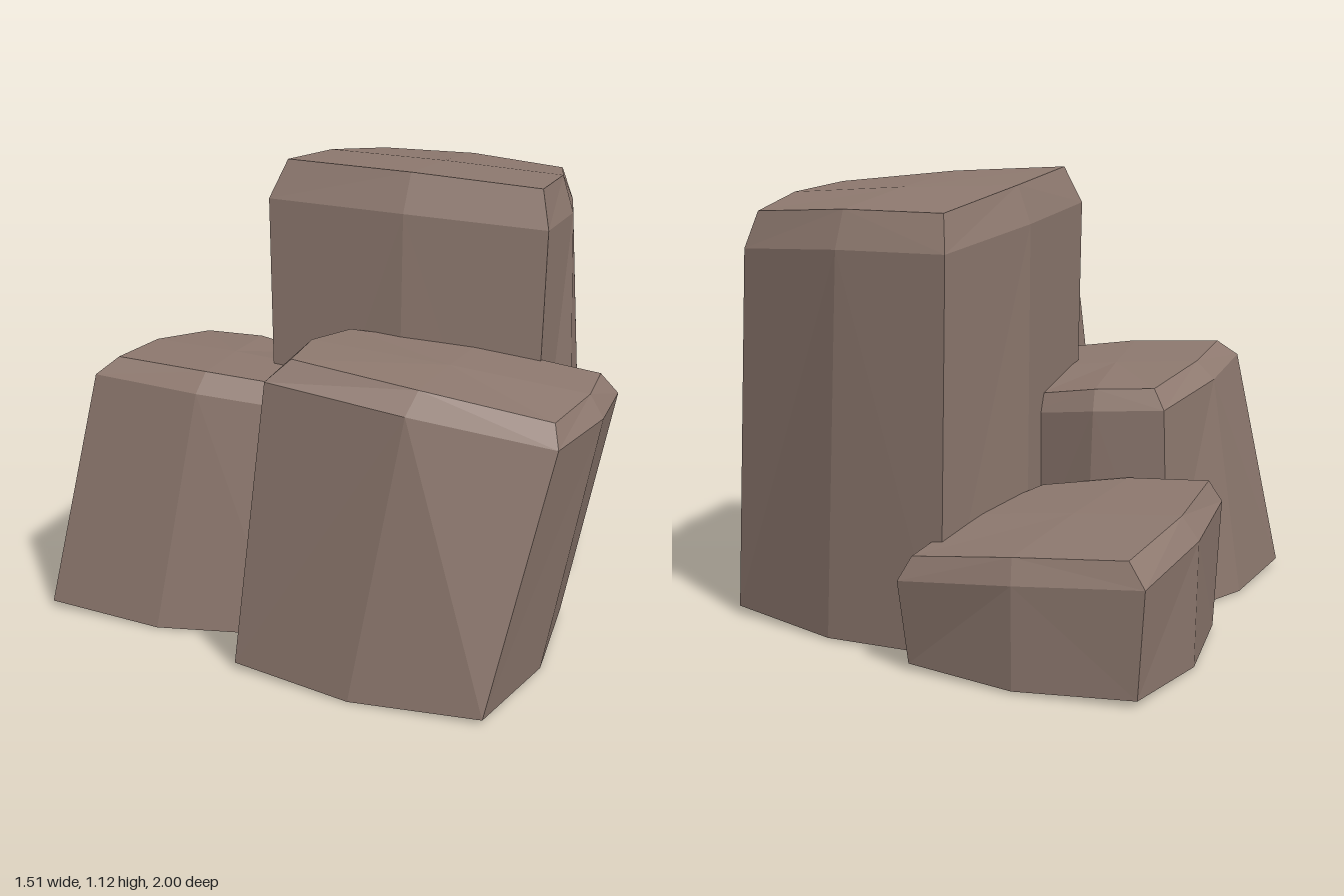
import * as THREE from 'three';

const material = new THREE.MeshStandardMaterial({
  color: 0x8f7a70, flatShading: true, side: THREE.DoubleSide,
});

// Turns four corners (left, front, right, back) into an eight-point ring with bulging edges.
function makeRing(corners, bulge, lift) {
  const points = corners.map((c) => new THREE.Vector3(...c));
  const centre = points.reduce((s, p) => s.add(p), new THREE.Vector3()).divideScalar(4);
  const ring = [];
  points.forEach((p, i) => {
    const mid = p.clone().lerp(points[(i + 1) % 4], 0.5);
    const out = mid.clone().sub(centre).setY(0).setLength(bulge);
    mid.add(out).y += lift;
    ring.push(p, mid);
  });
  return { ring, centre };
}

// A rock is a base, shoulder and top ring joined by facets, capped above and open below.
function makeRock(name, base, shoulder, top) {
  const levels = [makeRing(base, 0.04, -0.01), makeRing(shoulder, 0.03, 0.006), makeRing(top, 0.025, 0.008)];
  const positions = [];
  const tri = (...pts) => pts.forEach((p) => positions.push(p.x, p.y, p.z));
  for (let i = 0; i < 8; i++) {
    const j = (i + 1) % 8;
    for (let k = 0; k < 2; k++) {
      const a = levels[k].ring;
      const b = levels[k + 1].ring;
      // Diagonals meet at the edge middles so the sides read as chipped triangles.
      if (i % 2 === 0) {
        tri(a[i], a[j], b[j]);
        tri(a[i], b[j], b[i]);
      } else {
        tri(a[i], a[j], b[i]);
        tri(a[j], b[j], b[i]);
      }
    }
    const cap = levels[2].centre.clone();
    cap.y += 0.012;
    tri(levels[2].ring[i], levels[2].ring[j], cap);
  }
  const geometry = new THREE.BufferGeometry();
  geometry.setAttribute('position', new THREE.Float32BufferAttribute(positions, 3));
  geometry.computeVertexNormals();
  const mesh = new THREE.Mesh(geometry, material);
  mesh.name = name;
  return mesh;
}

export function createModel() {
  const group = new THREE.Group();
  group.name = 'rockCluster';

  group.add(makeRock('tallRock',
    [[-0.17, 0.01, 0.09], [0.36, 0.01, 0.47], [0.755, 0.02, 0], [0.37, 0.01, -0.53]],
    [[-0.19, 1.02, 0.09], [0.38, 0.975, 0.485], [0.735, 0.93, -0.08], [0.36, 0.94, -0.55]],
    [[-0.14, 1.115, 0.09], [0.38, 1.07, 0.45], [0.7, 1.02, -0.08], [0.35, 1.03, -0.505]]));

  group.add(makeRock('frontRock',
    [[-0.43, 0.015, 0.55], [0, 0.01, 1.0], [0.43, 0.01, 0.52], [-0.03, 0.01, 0.2]],
    [[-0.37, 0.71, 0.61], [0.18, 0.6, 0.965], [0.55, 0.575, 0.55], [-0.03, 0.65, 0.2]],
    [[-0.31, 0.76, 0.62], [0.19, 0.65, 0.925], [0.5, 0.63, 0.55], [-0.03, 0.71, 0.24]]));

  group.add(makeRock('leftRock',
    [[-0.76, 0.015, 0.05], [-0.28, 0.01, 0.43], [0.05, 0.01, -0.1], [-0.25, 0.01, -0.39]],
    [[-0.63, 0.6, 0.05], [-0.19, 0.55, 0.37], [0.03, 0.5, -0.14], [-0.24, 0.53, -0.38]],
    [[-0.57, 0.64, 0.05], [-0.19, 0.6, 0.33], [0, 0.55, -0.14], [-0.23, 0.58, -0.34]]));

  group.add(makeRock('backRock',
    [[-0.33, 0.01, -0.49], [0.02, 0.01, -0.2], [0.46, 0.015, -0.58], [0.06, 0.015, -0.985]],
    [[-0.35, 0.32, -0.49], [0.02, 0.27, -0.18], [0.485, 0.21, -0.58], [0.05, 0.26, -1.0]],
    [[-0.31, 0.375, -0.5], [0.02, 0.33, -0.22], [0.45, 0.265, -0.58], [0.07, 0.315, -0.955]]));

  return group;
}
